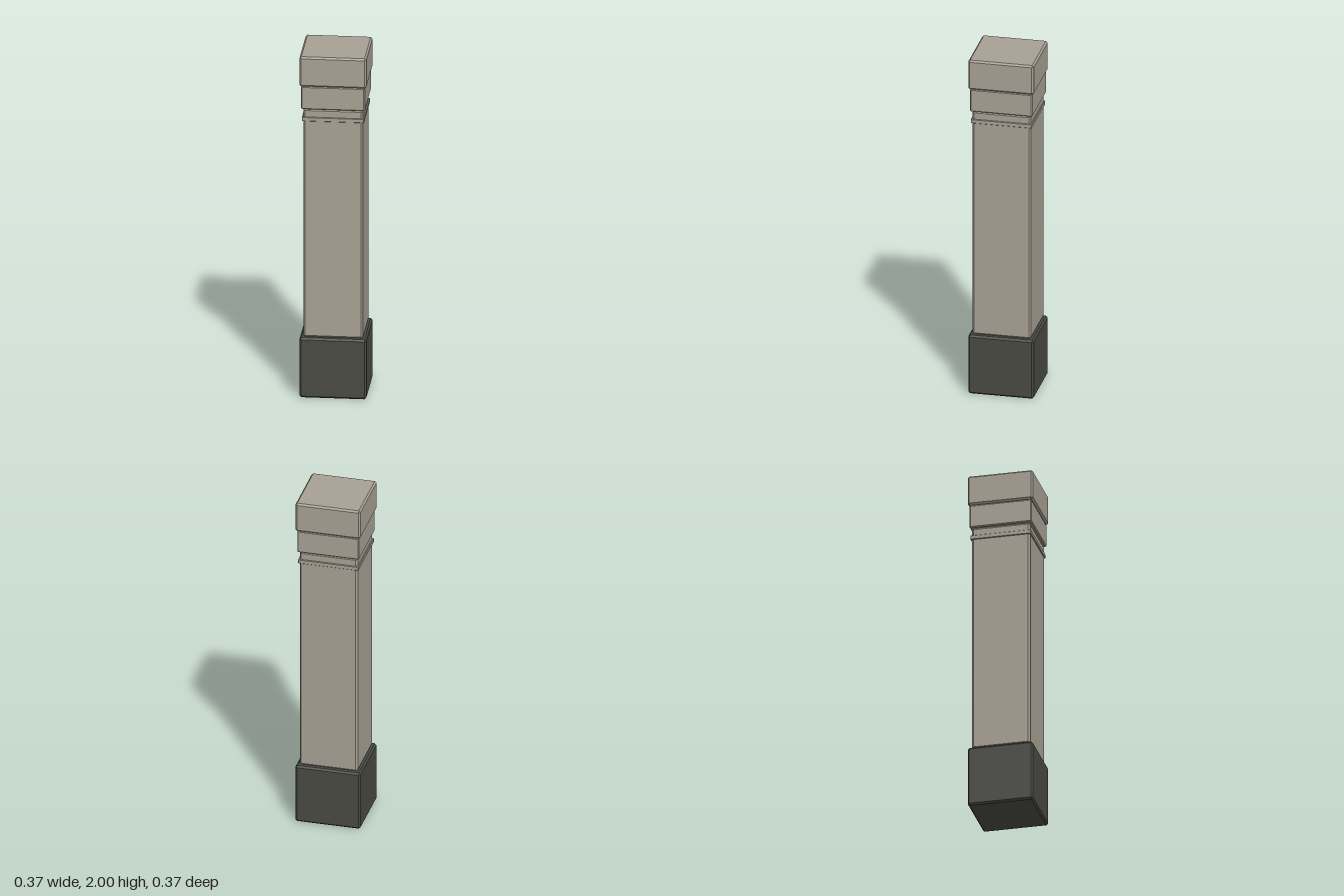
import * as THREE from 'three';
import { ConvexGeometry } from 'three/addons/geometries/ConvexGeometry.js';

// Square block with every edge cut by a flat chamfer
function chamferedBlock(half, bottom, top, chamfer) {
  const h = (top - bottom) / 2;
  const points = [];
  for (const sx of [-1, 1]) for (const sy of [-1, 1]) for (const sz of [-1, 1]) {
    for (let axis = 0; axis < 3; axis++) {
      const inset = [chamfer, chamfer, chamfer];
      inset[axis] = 0;
      points.push(new THREE.Vector3(
        sx * (half - inset[0]), sy * (h - inset[1]), sz * (half - inset[2])));
    }
  }
  const geometry = new ConvexGeometry(points);
  geometry.translate(0, (top + bottom) / 2, 0);
  return geometry;
}

export function createModel() {
  const group = new THREE.Group();
  group.name = 'squarePillar';
  const stone = new THREE.MeshStandardMaterial({ color: 0xa8a194 });
  stone.name = 'paleStone';
  const dark = new THREE.MeshStandardMaterial({ color: 0x4a4a44 });
  dark.name = 'darkStone';

  // name, half width, bottom, top, chamfer, material
  const parts = [
    ['base', 0.185, 0, 0.35, 0.01, dark],
    ['shaft', 0.165, 0.35, 1.69, 0.01, stone],
    ['collar', 0.172, 1.62, 1.643, 0.002, stone],
    ['neckBlock', 0.176, 1.69, 1.825, 0.006, stone],
    ['capBlock', 0.185, 1.825, 2, 0.01, stone],
  ];
  for (const [name, half, bottom, top, chamfer, material] of parts) {
    const mesh = new THREE.Mesh(chamferedBlock(half, bottom, top, chamfer), material);
    mesh.name = name;
    group.add(mesh);
  }
  return group;
}
